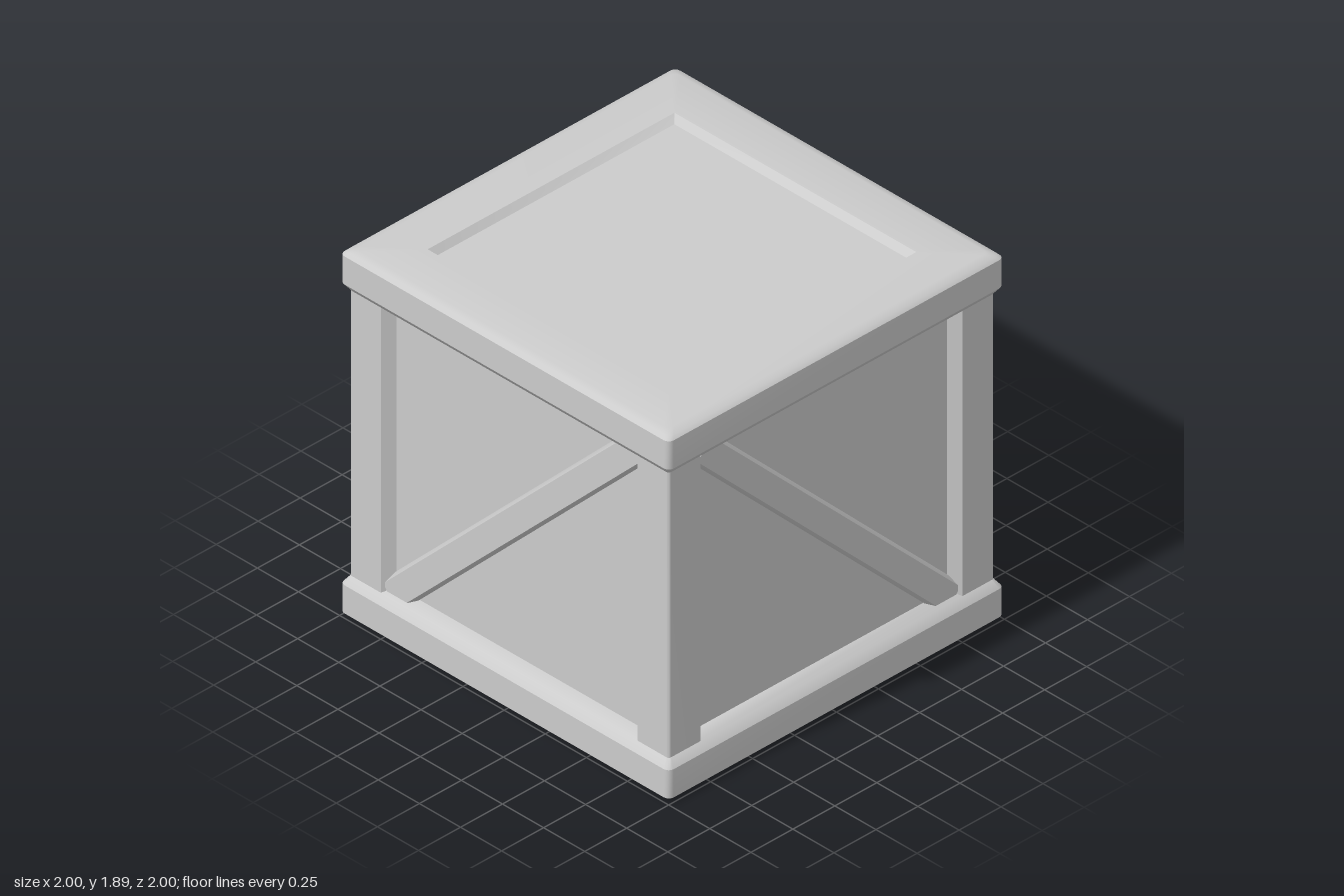
import * as THREE from 'three';
import { toCreasedNormals } from 'three/addons/utils/BufferGeometryUtils.js';

const HEIGHT = 1.89;
const material = new THREE.MeshStandardMaterial({ color: 0xcccccc });

function part(name, geometry) {
  const mesh = new THREE.Mesh(toCreasedNormals(geometry, 0.6), material);
  mesh.name = name;
  return mesh;
}

// Outline of a square with rounded corners, counter-clockwise from above
function squareRing(half, radius) {
  const points = [], steps = 4;
  for (let c = 0; c < 4; c++) {
    const mid = Math.PI / 4 + c * Math.PI / 2;
    const cx = Math.sign(Math.cos(mid)) * (half - radius);
    const cz = Math.sign(Math.sin(mid)) * (half - radius);
    for (let i = 0; i <= steps; i++) {
      const a = (c + i / steps) * Math.PI / 2;
      points.push([cx + radius * Math.cos(a), cz + radius * Math.sin(a)]);
    }
  }
  return points;
}

// Skin over stacked square rings [half size, y, corner radius], closed on top
function loftSquares(rings) {
  const positions = [], index = [];
  let n = 0;
  for (const [half, y, radius] of rings) {
    const ring = squareRing(half, radius);
    n = ring.length;
    for (const [x, z] of ring) positions.push(x, y, z);
  }
  for (let r = 0; r < rings.length - 1; r++) {
    for (let i = 0; i < n; i++) {
      const a = r * n + i, b = r * n + (i + 1) % n;
      index.push(a, a + n, b, b, a + n, b + n);
    }
  }
  const last = (rings.length - 1) * n;
  positions.push(0, rings.at(-1)[1], 0);
  for (let i = 0; i < n; i++) index.push(last + i, last + n, last + (i + 1) % n);
  const geometry = new THREE.BufferGeometry();
  geometry.setAttribute('position', new THREE.Float32BufferAttribute(positions, 3));
  geometry.setIndex(index);
  return geometry;
}

// Bevelled frame with a shallow sunken panel
function frame(name) {
  return part(name, loftSquares([
    [0.915, 1.655, 0.005], [0.97, 1.68, 0.015], [1, 1.72, 0.03], [1, 1.865, 0.03],
    [0.985, 1.88, 0.03], [0.95, HEIGHT, 0.03],
    [0.735, HEIGHT, 0.001], [0.705, HEIGHT - 0.03, 0.001],
  ]));
}

// Corner post with slanted inner sides
function postGeometry() {
  const shape = new THREE.Shape();
  shape.moveTo(0.74, 0.74);
  shape.lineTo(0.915, 0.74);
  shape.lineTo(0.97, 0.78);
  shape.lineTo(0.97, 0.955);
  shape.quadraticCurveTo(0.97, 0.97, 0.955, 0.97);
  shape.lineTo(0.78, 0.97);
  shape.lineTo(0.74, 0.915);
  shape.closePath();
  const geometry = new THREE.ExtrudeGeometry(shape, { depth: 1.49, bevelEnabled: false, curveSegments: 4 });
  return geometry.rotateX(-Math.PI / 2).translate(0, 0.2, 0);
}

// Diagonal bar with clipped ends; side = -1 leans the other way
function braceGeometry(side) {
  const half = [[-0.785, -0.675], [-0.785, -0.715], [-0.765, -0.74], [-0.63, -0.74]];
  const outline = [...half, ...half.map(([x, y]) => [-x, -y])];
  const shape = new THREE.Shape(outline.map(([x, y]) => new THREE.Vector2(side * x, y)));
  const geometry = new THREE.ExtrudeGeometry(shape, {
    depth: 0.02, bevelThickness: 0.035, bevelSize: 0.016, bevelOffset: -0.016, bevelSegments: 1,
  });
  return geometry.translate(0, HEIGHT / 2, 0.9);
}

export function createModel() {
  const model = new THREE.Group();
  model.name = 'crate';

  // Lid, and the base as the lid turned over
  model.add(frame('lid'));
  const base = frame('base');
  base.rotation.x = Math.PI;
  base.position.y = HEIGHT;
  model.add(base);

  // Side panels
  const panels = part('sidePanels', new THREE.BoxGeometry(1.83, 1.5, 1.83));
  panels.position.y = HEIGHT / 2;
  model.add(panels);

  // Posts and braces, one per quarter turn
  for (let i = 0; i < 4; i++) {
    const post = part('cornerPost', postGeometry());
    const brace = part('diagonalBrace', braceGeometry(i % 2 ? -1 : 1));
    post.rotation.y = brace.rotation.y = i * Math.PI / 2;
    model.add(post, brace);
  }
  return model;
}
